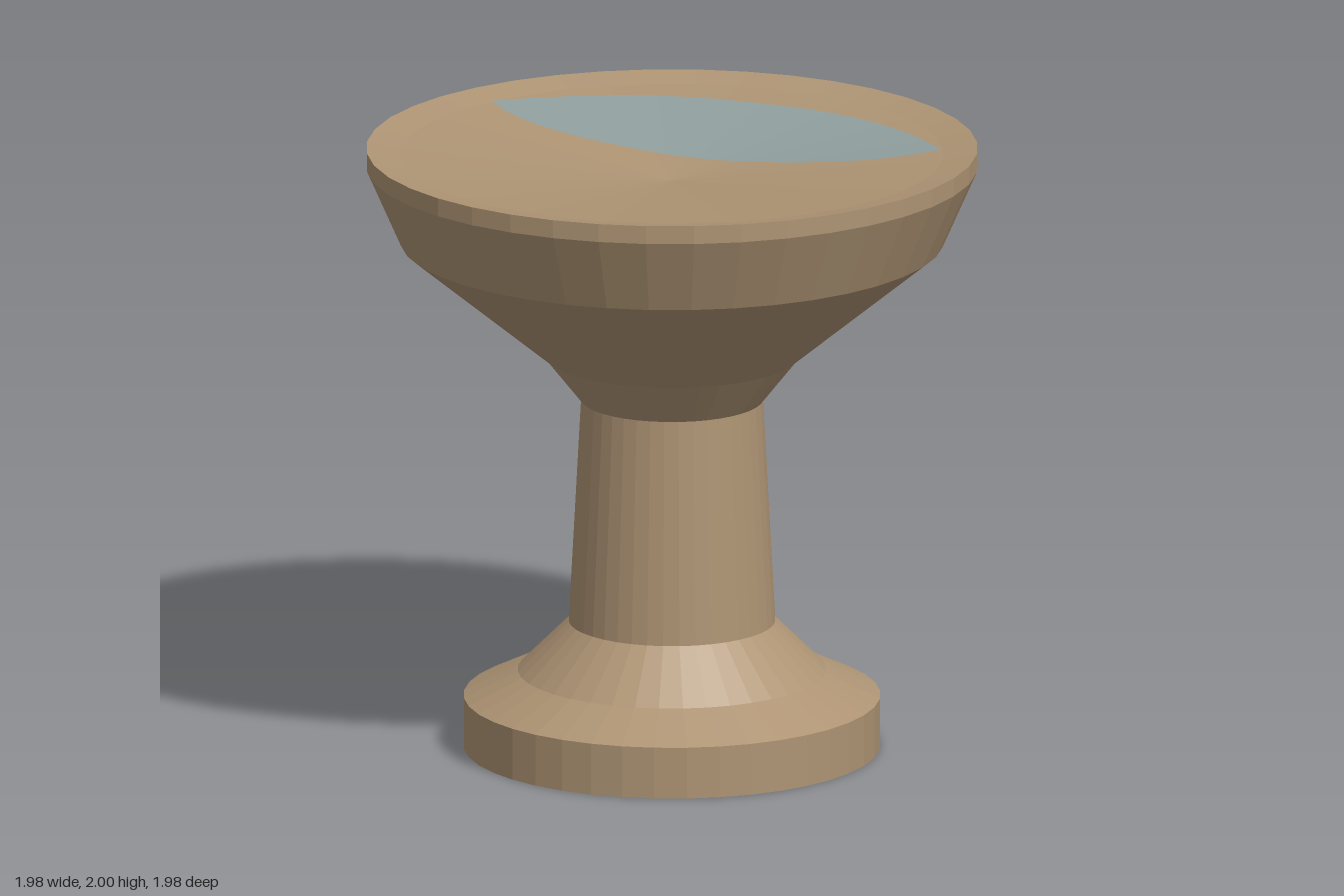
import * as THREE from 'three';

const SIDES = 40;
const RIM = 0.99, LEDGE = 0.88, LEDGE_Y = 1.98, CENTRE_Y = 1.89;

// Height of the shallow dish surface at a given radius
function dishHeight(r) {
  return CENTRE_Y + (LEDGE_Y - CENTRE_Y) * Math.min(r / LEDGE, 1);
}

// Faceted turned part from [radius, height] pairs, listed bottom to top
function turned(name, profile, material) {
  const points = profile.map(([r, y]) => new THREE.Vector2(r, y));
  const mesh = new THREE.Mesh(new THREE.LatheGeometry(points, SIDES), material);
  mesh.name = name;
  return mesh;
}

export function createModel() {
  const stone = new THREE.MeshStandardMaterial({ color: 0xae9474, flatShading: true });
  stone.name = 'stone';
  const waterBlue = new THREE.MeshStandardMaterial({ color: 0x909f9e, side: THREE.DoubleSide });
  waterBlue.name = 'water blue';

  const model = new THREE.Group();
  model.name = 'birdBath';

  // Plinth with sloping shoulders, tapered column and flared bowl
  model.add(turned('base', [[0, 0], [0.675, 0], [0.675, 0.17], [0.5, 0.255], [0.335, 0.42]], stone));
  model.add(turned('column', [[0.335, 0.42], [0.295, 1.16]], stone));
  model.add(turned('bowl', [[0.295, 1.16], [0.41, 1.305], [0.88, 1.69], [RIM, 1.94], [RIM, 2]], stone));
  // Shallow dish inside the rim
  model.add(turned('dish', [[RIM, 2], [LEDGE, LEDGE_Y], [0, CENTRE_Y]], stone));

  // Crescent of water lying on the back half of the dish
  const half = 0.79;
  const geometry = new THREE.PlaneGeometry(2, 1, 40, 10);
  geometry.rotateX(-Math.PI / 2);
  const pos = geometry.attributes.position;
  for (let i = 0; i < pos.count; i++) {
    const t = Math.sin(pos.getX(i) * Math.PI / 2);
    const back = -0.73 + 0.36 * Math.abs(t) ** 2.3;
    const front = -0.2 - 0.17 * Math.abs(t) ** 4.5;
    const x = t * half;
    const z = THREE.MathUtils.lerp(back, front, pos.getZ(i) + 0.5);
    pos.setXYZ(i, x, dishHeight(Math.hypot(x, z)) + 0.006, z);
  }
  geometry.computeVertexNormals();
  const water = new THREE.Mesh(geometry, waterBlue);
  water.name = 'water';
  model.add(water);

  return model;
}
